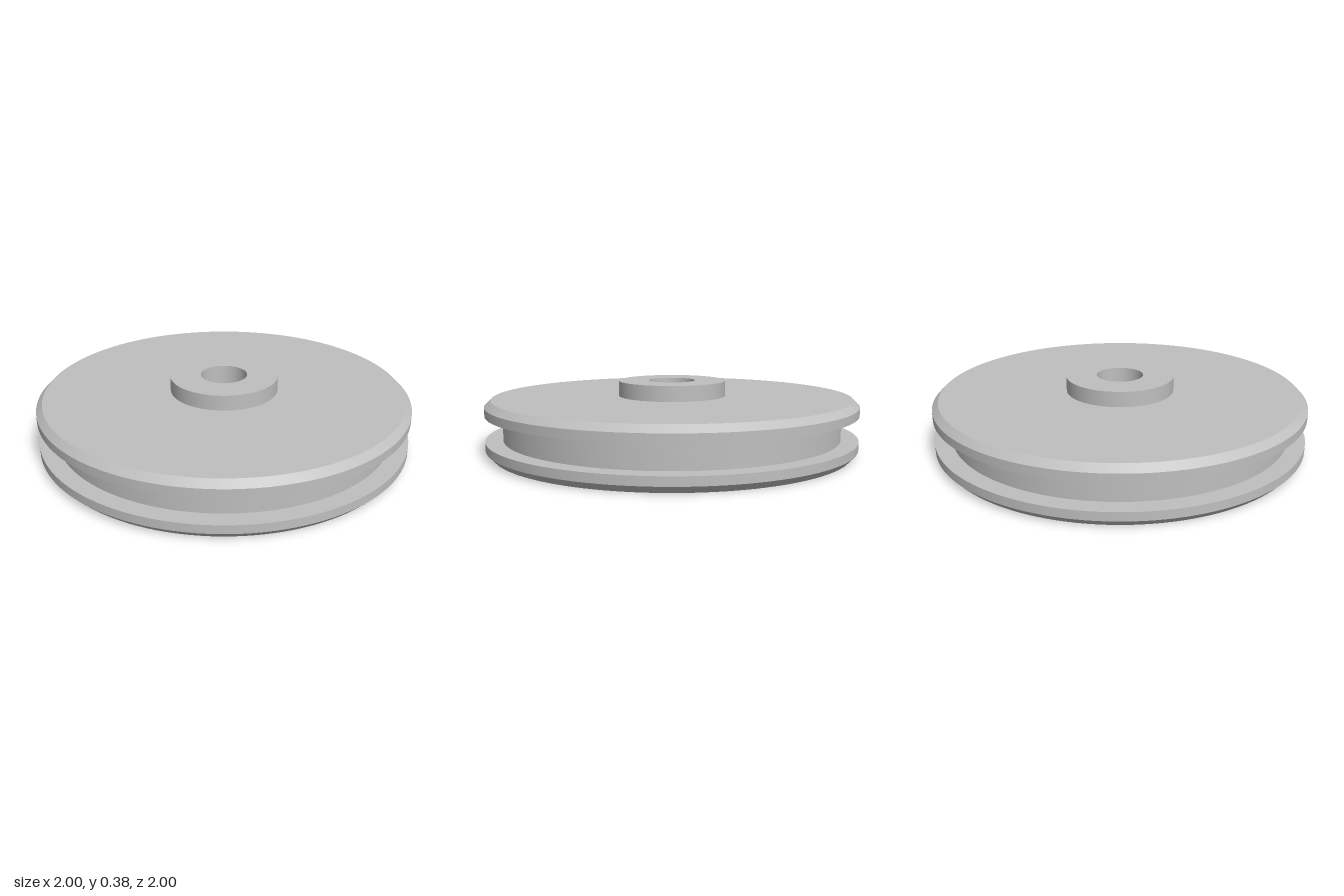
import * as THREE from 'three';
import { toCreasedNormals } from 'three/addons/utils/BufferGeometryUtils.js';

const SEGMENTS = 128;
const BORE = 0.125, HUB = 0.29, GROOVE = 0.908, BEVEL = 0.967, RIM = 1;

// Each profile lists [radius, height] with the solid on its left.
const PROFILES = {
  lowerFlange: [[BORE, 0], [BEVEL, 0], [RIM, 0.035], [RIM, 0.08], [GROOVE, 0.08]],
  grooveFloor: [[GROOVE, 0.08], [GROOVE, 0.215]],
  upperFlange: [[GROOVE, 0.215], [RIM, 0.215], [RIM, 0.26], [BEVEL, 0.293], [HUB, 0.293]],
  hub: [[HUB, 0.293], [HUB, 0.375], [BORE, 0.375]],
  bore: [[BORE, 0.375], [BORE, 0]],
};

export function createModel() {
  const model = new THREE.Group();
  model.name = 'pulleyWheel';
  const metal = new THREE.MeshStandardMaterial({ color: 0xbfbfbf });
  metal.name = 'grey metal';

  // Turn every part around the axle, smooth round the wheel and sharp at its edges
  for (const [name, profile] of Object.entries(PROFILES)) {
    const points = profile.map(([r, y]) => new THREE.Vector2(r, y));
    const geometry = toCreasedNormals(new THREE.LatheGeometry(points, SEGMENTS), 0.4);
    const part = new THREE.Mesh(geometry, metal);
    part.name = name;
    model.add(part);
  }
  return model;
}
